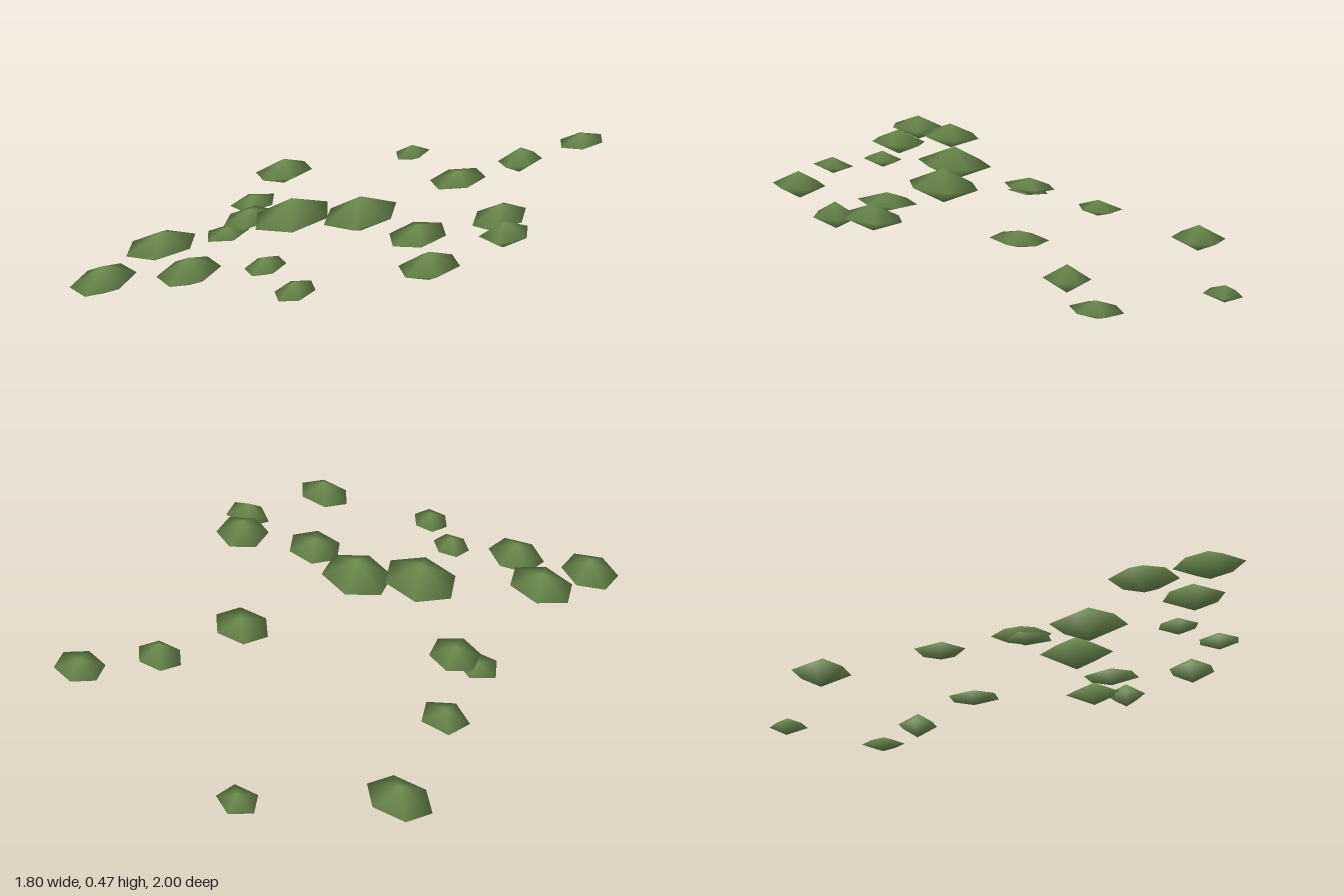
import * as THREE from 'three';

// Leaf clumps: x, z, width, depth, sides, turn (degrees), bottom y, top y
const clusters = {
  lowFoliage: [
    [0, -0.925, 0.16, 0.15, 5, 54, 0.045, 0.12],
    [-0.535, -0.63, 0.27, 0.2, 6, 0, 0, 0.12],
    [-0.535, -0.165, 0.195, 0.19, 5, 95, 0.08, 0.155],
    [-0.54, 0.165, 0.18, 0.17, 5, 54, 0.12, 0.16],
    [-0.455, 0.13, 0.195, 0.235, 6, 25, 0.16, 0.238],
  ],
  frontFoliage: [
    [-0.65, 0.62, 0.27, 0.265, 6, 20, 0.24, 0.355],
    [-0.79, 0.865, 0.23, 0.265, 6, 38, 0.2, 0.315],
    [-0.475, 0.795, 0.235, 0.24, 6, 45, 0.24, 0.355],
    [-0.2, 0.72, 0.155, 0.16, 6, 50, 0.28, 0.355],
    [-0.04, 0.875, 0.155, 0.155, 6, 0, 0.28, 0.355],
    [0.425, 0.745, 0.23, 0.19, 6, 6, 0.355, 0.47],
  ],
  middleFoliage: [
    [-0.2, 0.365, 0.31, 0.31, 6, 15, 0.28, 0.43],
    [0.055, 0.285, 0.275, 0.305, 6, 25, 0.28, 0.43],
    [0.31, 0.405, 0.23, 0.23, 6, 10, 0.315, 0.395],
    [0.605, 0.3, 0.19, 0.255, 6, 28, 0.36, 0.47],
    [0.645, 0.44, 0.185, 0.17, 5, 30, 0.36, 0.47],
  ],
  backFoliage: [
    [0.8, -0.71, 0.19, 0.195, 6, 20, 0.283, 0.353],
    [0.565, -0.495, 0.19, 0.155, 6, 0, 0.24, 0.355],
    [0.35, -0.2, 0.235, 0.2, 6, 0, 0.283, 0.353],
  ],
};

const TILT = 0.18; // every clump rises towards +x

// A flattened clump: a tilted polygon rim between an upper and a lower tip
function clumpGeometry([x, z, width, depth, sides, turn, low, high]) {
  const rim = [];
  for (let i = 0; i < sides; i++) {
    const a = THREE.MathUtils.degToRad(turn) + (i * 2 * Math.PI) / sides;
    rim.push(new THREE.Vector2(Math.cos(a), Math.sin(a)));
  }
  // Stretch the rim to its exact width and depth
  const box = new THREE.Box2().setFromPoints(rim);
  const size = box.getSize(new THREE.Vector2());
  const mid = box.getCenter(new THREE.Vector2());
  const middle = (low + high) / 2;
  const position = [x, high, z, x, low, z];
  const index = [];
  rim.forEach((p, i) => {
    const dx = ((p.x - mid.x) / size.x) * width;
    const dz = ((p.y - mid.y) / size.y) * depth;
    position.push(x + dx, middle + dx * TILT, z + dz);
    const a = 2 + i;
    const b = 2 + ((i + 1) % sides);
    index.push(0, b, a, 1, a, b);
  });
  const geometry = new THREE.BufferGeometry();
  geometry.setAttribute('position', new THREE.Float32BufferAttribute(position, 3));
  geometry.setIndex(index);
  geometry.computeVertexNormals();
  return geometry;
}

export function createModel() {
  const leafGreen = new THREE.MeshStandardMaterial({ color: 0x6f8f50 });
  leafGreen.name = 'leafGreen';
  const model = new THREE.Group();
  model.name = 'foliage';
  for (const [name, clumps] of Object.entries(clusters)) {
    const group = new THREE.Group();
    group.name = name;
    for (const clump of clumps) {
      const mesh = new THREE.Mesh(clumpGeometry(clump), leafGreen);
      mesh.name = 'leafClump';
      group.add(mesh);
    }
    model.add(group);
  }
  return model;
}
